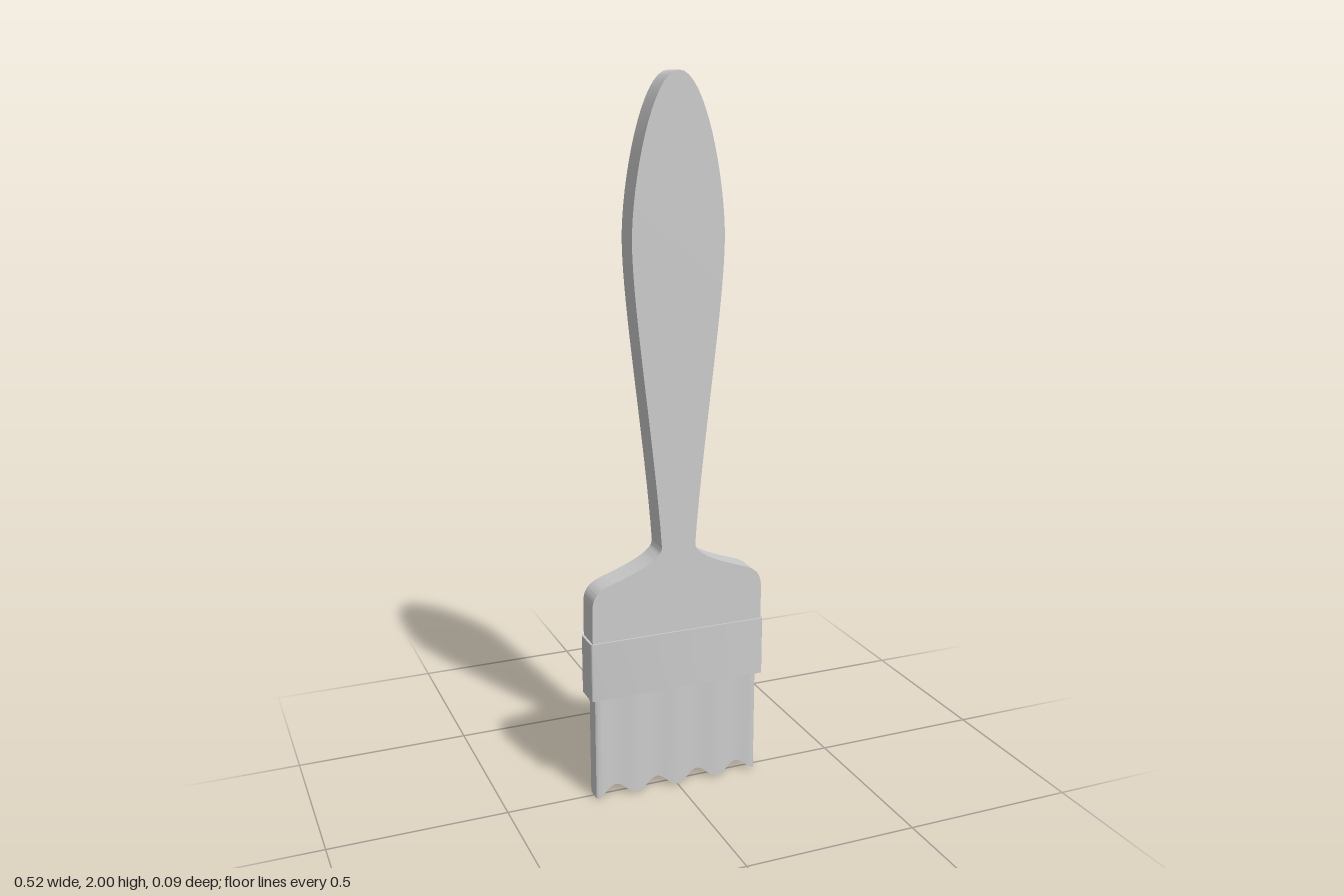
import * as THREE from 'three';
import { toCreasedNormals } from 'three/addons/utils/BufferGeometryUtils.js';

const material = new THREE.MeshStandardMaterial({ color: 0xcccccc });

function addPart(group, name, geometry) {
  const mesh = new THREE.Mesh(toCreasedNormals(geometry, 0.6), material);
  mesh.name = name;
  group.add(mesh);
}

// Flat paddle handle, widening to shoulders above the ferrule
function handleGeometry() {
  const s = new THREE.Shape();
  s.moveTo(0.255, 0.34);
  s.lineTo(0.255, 0.57);
  s.bezierCurveTo(0.255, 0.615, 0.24, 0.63, 0.2, 0.645);
  s.bezierCurveTo(0.13, 0.668, 0.045, 0.7, 0.05, 0.735);
  s.bezierCurveTo(0.07, 1.02, 0.131, 1.4, 0.131, 1.57);
  s.bezierCurveTo(0.131, 1.72, 0.075, 2, 0, 2);
  s.bezierCurveTo(-0.075, 2, -0.131, 1.72, -0.131, 1.57);
  s.bezierCurveTo(-0.131, 1.4, -0.07, 1.02, -0.05, 0.735);
  s.bezierCurveTo(-0.045, 0.7, -0.13, 0.668, -0.2, 0.645);
  s.bezierCurveTo(-0.24, 0.63, -0.255, 0.615, -0.255, 0.57);
  s.lineTo(-0.255, 0.34);
  s.closePath();
  const g = new THREE.ExtrudeGeometry(s, { depth: 0.076, bevelEnabled: false, curveSegments: 16 });
  return g.translate(0, 0, -0.038);
}

// Band with softened vertical corners
function ferruleGeometry() {
  const w = 0.262, d = 0.043, r = 0.012;
  const s = new THREE.Shape();
  s.moveTo(-w + r, -d);
  s.lineTo(w - r, -d);
  s.quadraticCurveTo(w, -d, w, -d + r);
  s.lineTo(w, d - r);
  s.quadraticCurveTo(w, d, w - r, d);
  s.lineTo(-w + r, d);
  s.quadraticCurveTo(-w, d, -w, d - r);
  s.lineTo(-w, -d + r);
  s.quadraticCurveTo(-w, -d, -w + r, -d);
  const g = new THREE.ExtrudeGeometry(s, { depth: 0.17, bevelEnabled: false, curveSegments: 5 });
  return g.rotateX(-Math.PI / 2).translate(0, 0.31, 0);
}

// Bristle block: rippled in depth, scalloped along the lower edge
function bristleGeometry() {
  const half = 0.246, top = 0.34;
  const g = new THREE.BoxGeometry(half * 2, top, 0.06, 80, 1, 1);
  const p = g.attributes.position;
  for (let i = 0; i < p.count; i++) {
    const x = p.getX(i);
    const wave = Math.cos((x / 0.125) * Math.PI * 2);
    const corner = 0.007 * Math.max(0, (Math.abs(x) - half + 0.012) / 0.012) ** 2;
    p.setY(i, p.getY(i) > 0 ? top : 0.0175 * (1 - wave));
    p.setZ(i, Math.sign(p.getZ(i)) * (0.0275 + 0.0025 * wave - corner));
  }
  return g;
}

export function createModel() {
  const brush = new THREE.Group();
  brush.name = 'paintbrush';
  addPart(brush, 'handle', handleGeometry());
  addPart(brush, 'ferrule', ferruleGeometry());
  addPart(brush, 'bristles', bristleGeometry());
  return brush;
}
